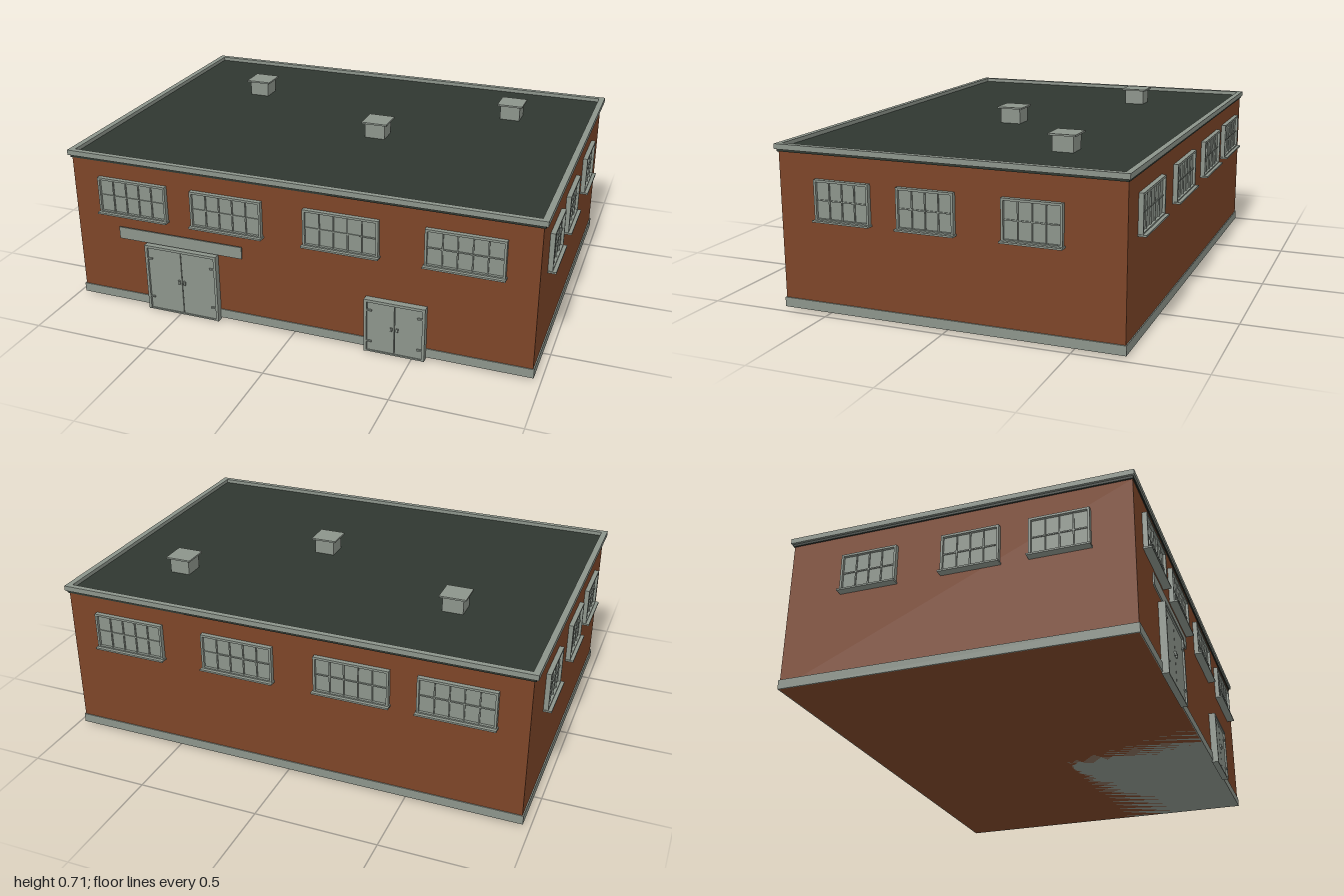
import * as THREE from 'three';

const mat = (name, color) => {
  const m = new THREE.MeshStandardMaterial({ color });
  m.name = name;
  return m;
};

export function createModel() {
  const brick = mat('brick', 0x7d4528);
  const grey = mat('concrete grey', 0x8c948b);
  const roofDark = mat('roof felt', 0x2f3730);
  const root = new THREE.Group();
  root.name = 'warehouse';

  // box given by its min and max corners
  const box = (parent, name, m, x0, x1, y0, y1, z0, z1) => {
    const mesh = new THREE.Mesh(new THREE.BoxGeometry(x1 - x0, y1 - y0, z1 - z0), m);
    mesh.position.set((x0 + x1) / 2, (y0 + y1) / 2, (z0 + z1) / 2);
    mesh.name = name;
    parent.add(mesh);
  };
  const group = (name) => {
    const g = new THREE.Group();
    g.name = name;
    root.add(g);
    return g;
  };

  // Main volume: walls and plinth stand on the same base level
  const W = 0.966, D = 0.692, base = 0.008;
  box(root, 'walls', brick, -W, W, base, 0.63, -D, D);
  box(root, 'plinth', grey, -W - 0.005, W + 0.005, base, 0.046, -D - 0.004, D + 0.004);
  box(root, 'roof', roofDark, -0.973, 0.973, 0.63, 0.645, -0.696, 0.696);

  // Parapet rim: rectangular ring
  const rect = (s, x, z) => {
    s.moveTo(-x, -z); s.lineTo(x, -z); s.lineTo(x, z); s.lineTo(-x, z); s.closePath();
    return s;
  };
  const ring = rect(new THREE.Shape(), 0.982, 0.702);
  ring.holes.push(rect(new THREE.Path(), 0.957, 0.679));
  const rim = new THREE.Mesh(
    new THREE.ExtrudeGeometry(ring, { depth: 0.021, bevelEnabled: false }), grey);
  rim.rotation.x = -Math.PI / 2;
  rim.position.y = 0.64;
  rim.name = 'parapet';
  root.add(rim);

  // Window facing +z, with its origin at the bottom centre on the wall
  const addWindow = (name, w, h, cols, x, y, z, turn) => {
    const g = group(name), f = 0.009, a = w / 2;
    box(g, 'pane', grey, -a + f, a - f, f, h - f, -0.002, 0.008);
    for (const s of [-1, 1]) {
      const e = s * (a - f / 2);
      box(g, 'frameSide', grey, e - f / 2, e + f / 2, 0, h, -0.002, 0.019);
    }
    box(g, 'frameTop', grey, -a + f, a - f, h - f, h, -0.002, 0.019);
    box(g, 'frameBottom', grey, -a + f, a - f, 0, f, -0.002, 0.019);
    box(g, 'sill', grey, -a - 0.004, a + 0.004, -0.003, 0.004, -0.002, 0.033);
    for (let i = 1; i < cols; i++) {
      const bx = -a + f + (w - 2 * f) * i / cols;
      box(g, 'verticalBar', grey, bx - 0.0025, bx + 0.0025, f, h - f, 0.007, 0.013);
    }
    box(g, 'crossBar', grey, -a + f, a - f, h / 2 - 0.0025, h / 2 + 0.0025, 0.007, 0.012);
    g.position.set(x, y, z);
    g.rotation.y = turn;
  };
  for (const x of [-0.693, -0.277, 0.204, 0.69]) {
    addWindow('frontWindow', 0.306, 0.154, 5, x, 0.409, D, 0);
    addWindow('backWindow', 0.306, 0.154, 5, x, 0.409, -D, Math.PI);
  }
  for (const z of [0.417, 0.07, -0.347]) {
    addWindow('leftWindow', 0.232, 0.16, 4, W, 0.376, z, Math.PI / 2);
    addWindow('rightWindow', 0.232, 0.16, 4, -W, 0.376, z, -Math.PI / 2);
  }

  // Double door with frame, leaves, hinges and handles
  const addDoor = (name, x, w, h) => {
    const g = group(name), f = 0.011, a = w / 2;
    box(g, 'doorBacking', grey, -a + f, a - f, 0.004, h - f, 0, 0.012);
    for (const s of [-1, 1]) {
      const e = s * (a - f / 2), hx = s * (a - f - 0.01), k = s * 0.012;
      const c = s * (a - f) / 2, half = (a - f) / 2 - 0.0015;
      box(g, 'doorLeaf', grey, c - half, c + half, 0.006, h - f, 0.01, 0.021);
      box(g, 'doorPost', grey, e - f / 2, e + f / 2, 0, h, 0, 0.028);
      for (const t of [0.2, 0.8]) {
        box(g, 'hinge', grey, hx - 0.01, hx + 0.01, h * t - 0.003, h * t + 0.003, 0.02, 0.028);
      }
      box(g, 'handle', grey, k - 0.004, k + 0.004, h * 0.47, h * 0.53, 0.02, 0.028);
    }
    box(g, 'doorLintel', grey, -a + f, a - f, h - f, h, 0, 0.028);
    box(g, 'threshold', grey, -a + f, a - f, 0, 0.006, 0, 0.026);
    g.position.set(x, 0, D);
  };
  addDoor('largeDoor', -0.486, 0.322, 0.295);
  addDoor('smallDoor', 0.428, 0.246, 0.23);

  // Blank board above the large door
  box(root, 'doorBoard', grey, -0.765, -0.213, 0.302, 0.353, 0.702, 0.708);

  // Roof vents
  for (const [x, z] of [[-0.553, -0.277], [0.136, 0.068], [0.622, -0.346]]) {
    box(root, 'ventBase', grey, x - 0.043, x + 0.043, 0.64, 0.708, z - 0.043, z + 0.043);
    box(root, 'ventCap', grey, x - 0.055, x + 0.055, 0.708, 0.715, z - 0.055, z + 0.055);
  }
  return root;
}
